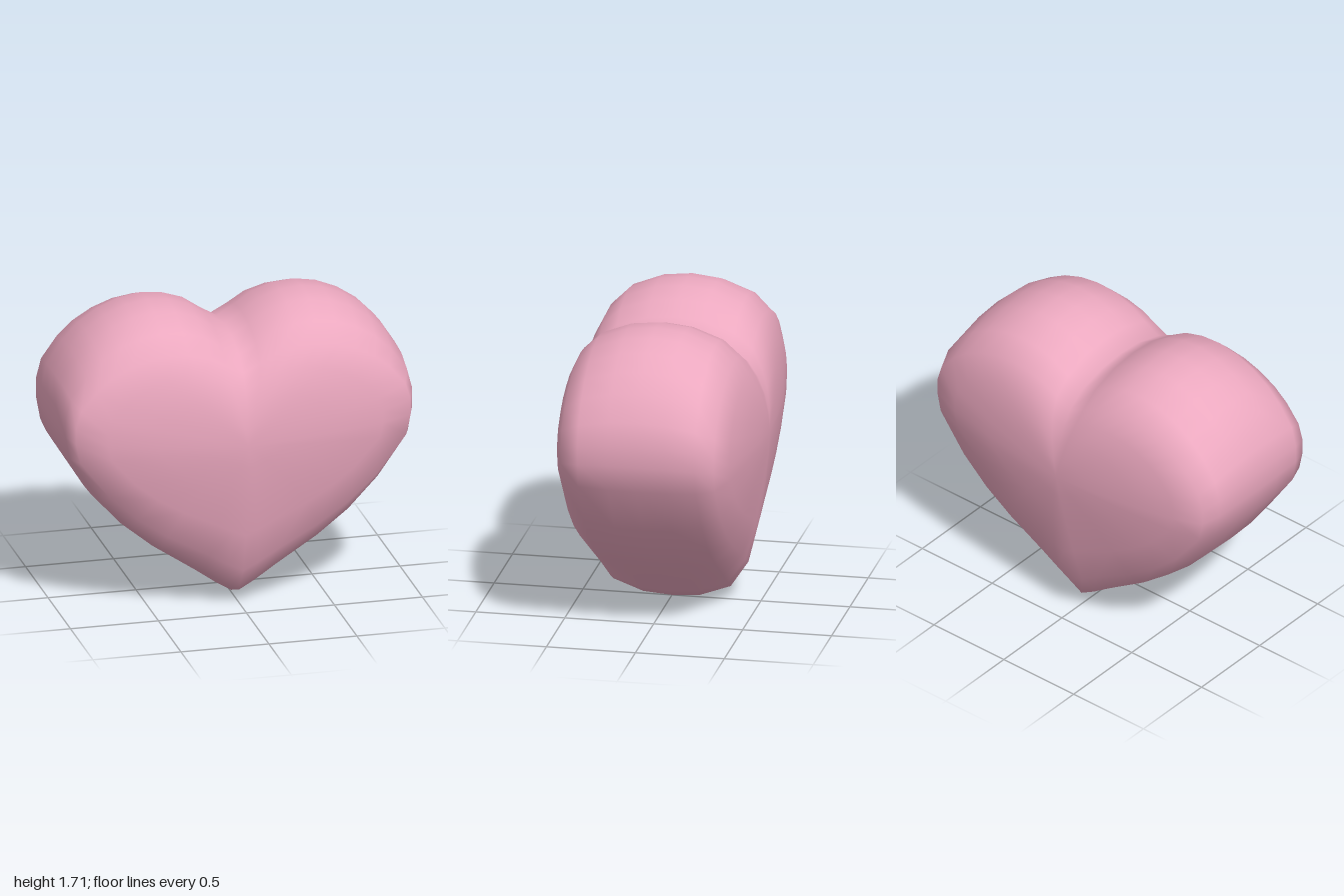
import * as THREE from 'three';

// Right half of the heart outline, from the cleft round to the bottom tip
const HALF = [
  [0, 1.53], [0.1, 1.59], [0.2, 1.66], [0.32, 1.7], [0.44, 1.71], [0.56, 1.69], [0.68, 1.64],
  [0.79, 1.565], [0.88, 1.47], [0.97, 1.33], [1, 1.2], [1, 1.08], [0.975, 0.93], [0.8, 0.65],
  [0.63, 0.46], [0.45, 0.31], [0.2, 0.14], [0.09, 0.06], [0, 0.005],
];
// Layers from the middle to the front: z, width scale, scale above and below the centre
const LAYERS = [
  [0, 1, 1, 1], [0.16, 0.997, 0.975, 0.988], [0.33, 0.985, 0.88, 0.925], [0.43, 0.95, 0.74, 0.775],
  [0.485, 0.78, 0.58, 0.55], [0.525, 0.5, 0.39, 0.3], [0.545, 0.22, 0.18, 0.13],
];
const CENTRE_Y = 1;

function heartGeometry() {
  const outline = [...HALF, ...HALF.slice(1, -1).reverse().map(([x, y]) => [-x, y])];
  const rings = [...LAYERS.slice(1).reverse().map(([z, ...s]) => [-z, ...s]), ...LAYERS];
  const n = outline.length;
  const pos = [];
  const index = [];

  for (const [z, sx, up, down] of rings) {
    for (const [x, y] of outline) {
      const dy = y - CENTRE_Y;
      pos.push(x * sx, CENTRE_Y + dy * (dy > 0 ? up : down), z);
    }
  }
  // Domed centres of back and front
  const back = rings.length * n;
  const front = back + 1;
  pos.push(0, CENTRE_Y, -0.55, 0, CENTRE_Y, 0.55);

  const last = (rings.length - 1) * n;
  for (let i = 0; i < n; i++) {
    const j = (i + 1) % n;
    for (let r = 0; r < last; r += n) {
      index.push(r + i, r + n + i, r + j, r + j, r + n + i, r + n + j);
    }
    index.push(back, i, j, front, last + j, last + i);
  }

  const geometry = new THREE.BufferGeometry();
  geometry.setAttribute('position', new THREE.Float32BufferAttribute(pos, 3));
  geometry.setIndex(index);
  geometry.computeVertexNormals();
  return geometry;
}

export function createModel() {
  const group = new THREE.Group();
  group.name = 'heartModel';
  const heart = new THREE.Mesh(heartGeometry(), new THREE.MeshStandardMaterial({ color: 0xeba8bf }));
  heart.name = 'heart';
  group.add(heart);
  return group;
}
